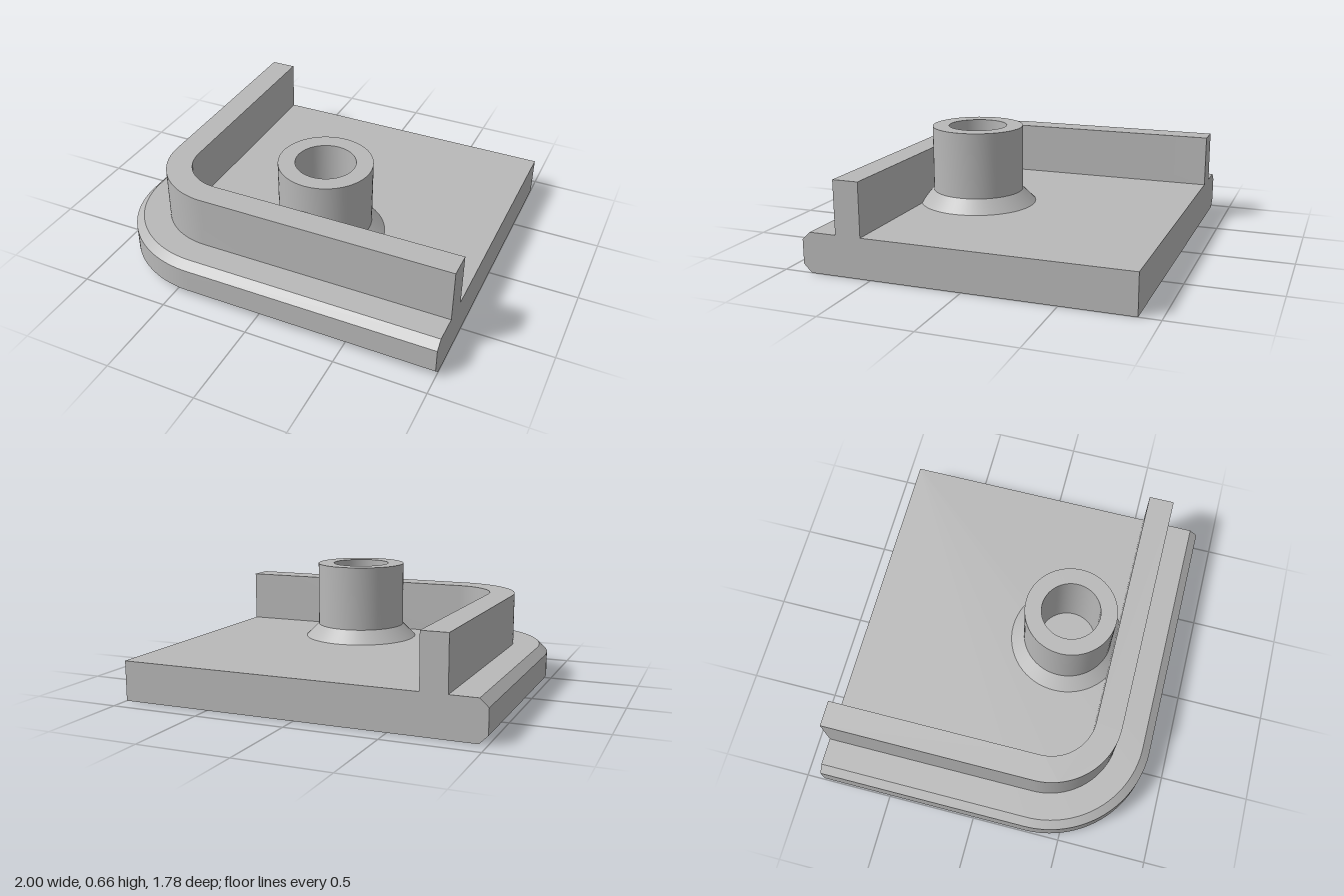
import * as THREE from 'three';
import { toCreasedNormals } from 'three/addons/utils/BufferGeometryUtils.js';

const BACK = -0.888, FRONT = 0.888, LEFT = -1, RIGHT = 1;
const CX = -0.41, CZ = 0.298; // centre of the rounded corner
const FLOOR = 0.22, CREASE = 0.5, SEGMENTS = 32;

// L-shaped path: along one side, round the corner, along the front
function edgePath(inset) {
  const r = CX - LEFT - inset;
  const points = [new THREE.Vector2(LEFT + inset, BACK)];
  for (let i = 0; i <= SEGMENTS; i++) {
    const a = (i / SEGMENTS) * Math.PI / 2;
    points.push(new THREE.Vector2(CX - r * Math.cos(a), CZ + r * Math.sin(a)));
  }
  points.push(new THREE.Vector2(RIGHT, FRONT - inset));
  return points;
}

// Plate lofted through [inset, height] rings, giving chamfers on two sides only
function plateGeometry(levels) {
  const rings = levels.map(([inset, y]) =>
    [...edgePath(inset), new THREE.Vector2(RIGHT, BACK)].map(p => [p.x, y, p.y]));
  const n = rings[0].length, pos = [];
  const tri = (a, b, c) => pos.push(...a, ...b, ...c);
  for (let k = 0; k < rings.length - 1; k++) {
    for (let j = 0; j < n; j++) {
      const m = (j + 1) % n, lo = rings[k], up = rings[k + 1];
      tri(lo[j], lo[m], up[m]);
      tri(lo[j], up[m], up[j]);
    }
  }
  const bottom = rings[0], top = rings[rings.length - 1];
  for (let j = 0; j < n - 2; j++) {
    tri(top[n - 1], top[j], top[j + 1]);
    tri(bottom[n - 1], bottom[j + 1], bottom[j]);
  }
  const g = new THREE.BufferGeometry();
  g.setAttribute('position', new THREE.Float32BufferAttribute(pos, 3));
  return toCreasedNormals(g, CREASE);
}

// Upright rim between two insets of the edge path
function rimGeometry(outer, inner, height) {
  const loop = [...edgePath(outer), ...edgePath(inner).reverse()];
  const shape = new THREE.Shape(loop.map(p => new THREE.Vector2(p.x, -p.y)));
  const g = new THREE.ExtrudeGeometry(shape, { depth: height, bevelEnabled: false });
  g.rotateX(-Math.PI / 2);
  return toCreasedNormals(g, CREASE);
}

export function createModel() {
  const group = new THREE.Group();
  const grey = new THREE.MeshStandardMaterial({ color: 0xb8b8b8 });
  grey.name = 'grey';
  const add = (name, geometry, x = 0, y = 0, z = 0) => {
    const mesh = new THREE.Mesh(geometry, grey);
    mesh.name = name;
    mesh.position.set(x, y, z);
    group.add(mesh);
  };

  add('basePlate', plateGeometry([[0.045, 0], [0, 0.045], [0, 0.178], [0.045, FLOOR]]));
  add('rimWall', rimGeometry(0.195, 0.338, 0.512 - FLOOR), 0, FLOOR, 0);

  // Hollow screw boss with a flared foot
  const profile = [[0.328, 0], [0.255, 0.073], [0.255, 0.438], [0.163, 0.438], [0.163, 0]]
    .map(([r, y]) => new THREE.Vector2(r, y));
  add('screwBoss', toCreasedNormals(new THREE.LatheGeometry(profile, 64), CREASE), 0.122, FLOOR, 0.275);

  return group;
}
